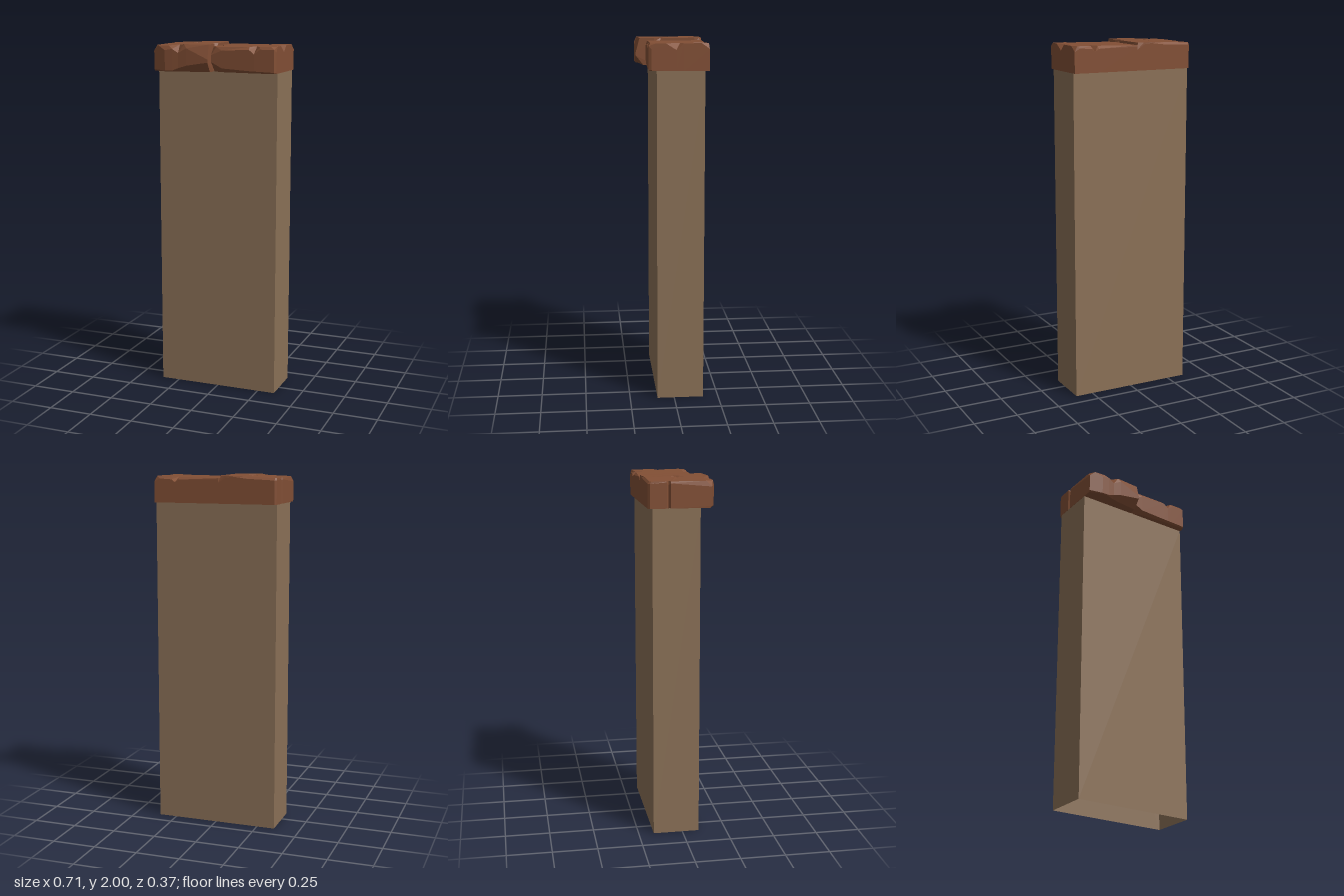
import * as THREE from 'three';

const BASE = 1.848;

// Chipped stone: a top outline stepping down through two outer rings to the base.
// Row: top x, top z, outer x, outer z, depth of top chip, height of bottom chip.
function chippedStone(rows, topY, pits, material, name) {
  const pos = [];
  const tri = (a, b, c) => pos.push(...a, ...b, ...c);
  const n = rows.length;
  const cx = rows.reduce((s, r) => s + r[2], 0) / n;

  const top = rows.map(([x, z]) => [x, topY(x, z), z]);
  const upper = rows.map(([, , x, z, d]) => [x, topY(x, z) - d, z]);
  const lower = rows.map(([, , x, z, , l]) => [x, BASE + l, z]);
  // bottom chips also cut the underside back
  const bottom = rows.map(([, , x, z, , l]) => [x + (cx - x) * l * 0.3, BASE, z - Math.sign(z) * l * 0.8]);

  // bands between the rings
  const rings = [bottom, lower, upper, top];
  for (let k = 0; k < 3; k++) {
    for (let i = 0; i < n; i++) {
      const j = (i + 1) % n;
      tri(rings[k][i], rings[k][j], rings[k + 1][j]);
      tri(rings[k][i], rings[k + 1][j], rings[k + 1][i]);
    }
  }

  // top face with pits broken out of it
  const flat = (p) => new THREE.Vector2(p[0], -p[2]);
  const holes = pits.map((p) => p.rim.map(([x, z]) => [x, topY(x, z), z]));
  const all = [...top, ...holes.flat()];
  for (const [a, b, c] of THREE.ShapeUtils.triangulateShape(top.map(flat), holes.map((h) => h.map(flat)))) {
    tri(all[a], all[b], all[c]);
  }
  pits.forEach(({ centre: [x, z], depth }, k) => {
    const c = [x, topY(x, z) - depth, z];
    holes[k].forEach((p, i, h) => tri(p, h[(i + 1) % h.length], c));
  });

  // underside
  for (const [a, b, c] of THREE.ShapeUtils.triangulateShape(bottom.map(flat), [])) {
    tri(bottom[a], bottom[c], bottom[b]);
  }

  const geo = new THREE.BufferGeometry();
  geo.setAttribute('position', new THREE.Float32BufferAttribute(pos, 3));
  geo.computeVertexNormals();
  const mesh = new THREE.Mesh(geo, material);
  mesh.name = name;
  return mesh;
}

export function createModel() {
  const group = new THREE.Group();
  group.name = 'cappedPillar';
  const plaster = new THREE.MeshStandardMaterial({ color: 0x8b7157, side: THREE.DoubleSide });
  plaster.name = 'tan plaster';
  const brick = new THREE.MeshStandardMaterial({ color: 0x824f35 });
  brick.name = 'red brown stone';

  // hollow pillar: four walls, open at both ends
  const pillarGeo = new THREE.BoxGeometry(0.705, 1.85, 0.26);
  const walls = [...pillarGeo.index.array].filter((_, i) => i < 12 || i >= 24);
  pillarGeo.setIndex(walls);
  pillarGeo.clearGroups();
  const pillar = new THREE.Mesh(pillarGeo, plaster);
  pillar.name = 'pillar';
  pillar.position.set(-0.001, 0.925, -0.035);
  group.add(pillar);

  // deeper cap stone, listed from its front corner round to the back
  const deepRows = [
    [-0.348, 0.125, -0.355, 0.155, 0.03, 0.01],
    [-0.325, 0.165, -0.28, 0.18, 0.025, 0.004],
    [-0.26, 0.17, -0.235, 0.18, 0.02, 0.006],
    [-0.205, 0.137, -0.2, 0.179, 0.045, 0.02],
    [-0.165, 0.172, -0.15, 0.182, 0.022, 0.035],
    [-0.023, 0.163, -0.023, 0.185, 0.08, 0.055],
    [-0.023, 0.08, -0.023, 0.08, 0.02, 0],
    [-0.045, 0.042, -0.023, 0.05, 0.03, 0],
    [-0.023, 0.02, -0.023, 0.02, 0.01, 0],
    [-0.023, -0.145, -0.023, -0.15, 0.03, 0],
    [-0.035, -0.172, -0.023, -0.188, 0.04, 0],
    [-0.065, -0.187, -0.07, -0.188, 0.01, 0],
    [-0.11, -0.187, -0.11, -0.188, 0.005, 0],
    [-0.19, -0.177, -0.19, -0.188, 0.012, 0],
    [-0.345, -0.177, -0.345, -0.188, 0.012, 0],
    [-0.353, -0.17, -0.355, -0.178, 0.012, 0],
    [-0.353, -0.088, -0.355, -0.088, 0.005, 0],
    [-0.32, -0.074, -0.343, -0.076, 0.02, 0],
    [-0.351, -0.064, -0.355, -0.066, 0.01, 0],
  ];
  const star = {
    rim: [[-0.212, -0.005], [-0.182, 0.01], [-0.182, 0.046], [-0.143, 0.01],
      [-0.117, -0.012], [-0.155, -0.018], [-0.174, -0.046], [-0.182, -0.01]],
    centre: [-0.167, -0.003], depth: 0.022,
  };
  const deepTop = (x) => 1.99 + 0.01 * THREE.MathUtils.clamp((x + 0.26) / 0.1, 0, 1);
  group.add(chippedStone(deepRows, deepTop, [star], brick, 'deepCapStone'));

  // shallower cap stone
  const shallowRows = [
    [-0.023, 0.09, -0.023, 0.13, 0.045, 0.055],
    [0.005, 0.123, 0.04, 0.132, 0.02, 0.022],
    [0.2, 0.12, 0.2, 0.137, 0.015, 0.012],
    [0.23, 0.085, 0.23, 0.138, 0.04, 0.011],
    [0.26, 0.128, 0.265, 0.138, 0.014, 0.01],
    [0.325, 0.128, 0.345, 0.138, 0.015, 0.007],
    [0.353, 0.1, 0.353, 0.122, 0.03, 0.006],
    [0.353, 0.045, 0.353, 0.03, 0.01, 0],
    [0.31, -0.033, 0.353, -0.01, 0.035, 0],
    [0.353, -0.05, 0.353, -0.05, 0.008, 0],
    [0.353, -0.145, 0.353, -0.188, 0.03, 0],
    [0.335, -0.184, 0.32, -0.188, 0.012, 0],
    [0.25, -0.172, 0.25, -0.188, 0.015, 0],
    [0.23, -0.112, 0.23, -0.188, 0.03, 0],
    [0.21, -0.172, 0.21, -0.188, 0.015, 0],
    [-0.023, -0.187, -0.023, -0.188, 0.008, 0],
    [-0.023, -0.05, -0.023, -0.055, 0.008, 0],
    [0.002, -0.034, -0.023, -0.034, 0.02, 0],
    [-0.023, -0.016, -0.023, -0.012, 0.008, 0],
  ];
  const shallowTop = (x) => 1.986 + 0.02 * Math.max(0, x);
  group.add(chippedStone(shallowRows, shallowTop, [], brick, 'shallowCapStone'));

  return group;
}
